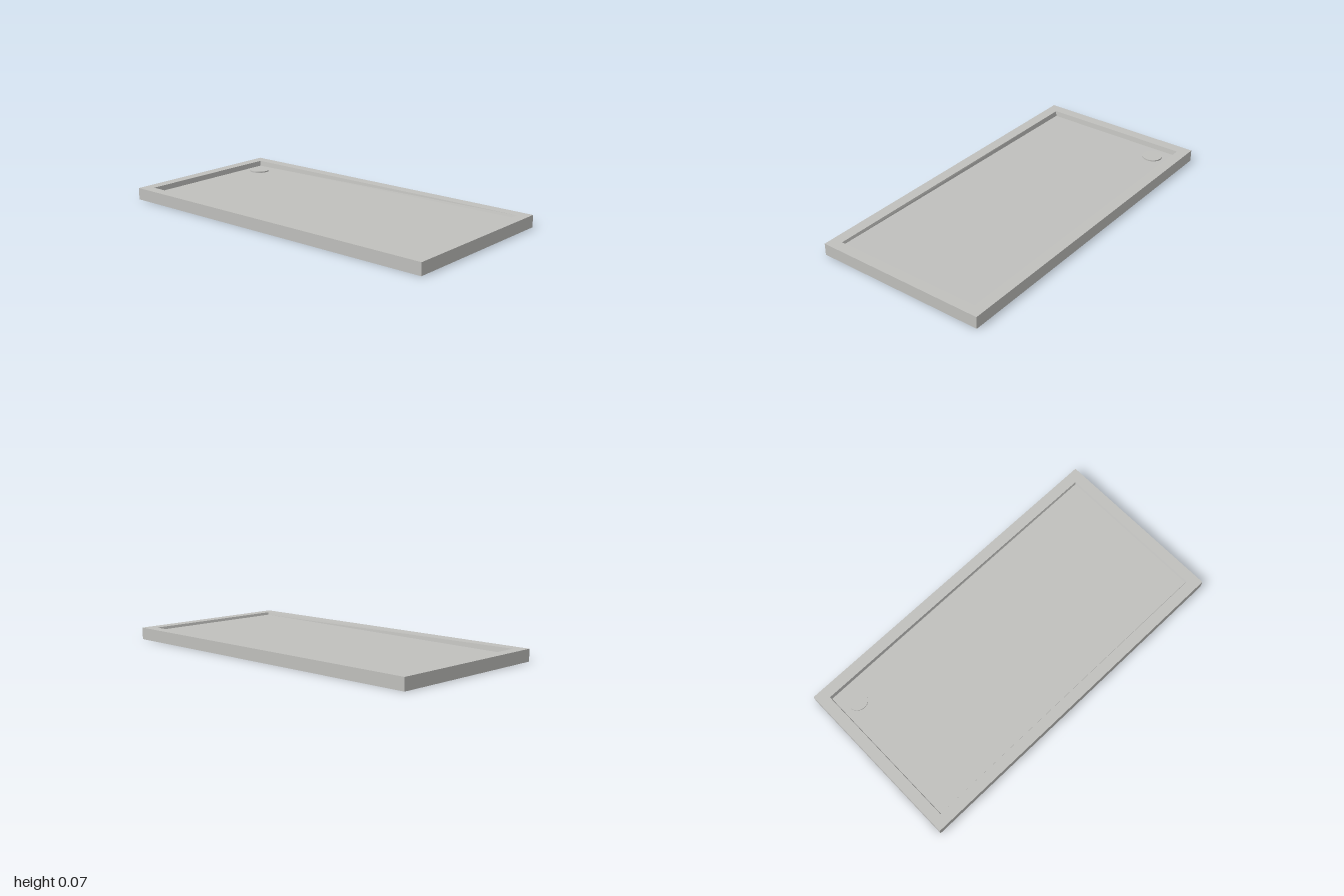
import * as THREE from 'three';

const HEIGHT = 0.068;
// The floor falls gently from the front towards the drain at the back
const floorY = (z) => HEIGHT - 0.022 + 0.008 * z;

// Four corners of a rectangular loop, seen from above
function loop(halfX, halfZ, yAt) {
  return [[-1, 1], [1, 1], [1, -1], [-1, -1]].map(([sx, sz]) =>
    [sx * halfX, yAt(sz * halfZ), sz * halfZ]);
}

// Thin band of faces joining two loops
function band(a, b) {
  const points = [];
  for (let i = 0; i < 4; i++) {
    const j = (i + 1) % 4;
    points.push(a[i], a[j], b[j], a[i], b[j], b[i]);
  }
  return sheet(points);
}

function sheet(points) {
  const geometry = new THREE.BufferGeometry();
  geometry.setAttribute('position', new THREE.Float32BufferAttribute(points.flat(), 3));
  geometry.computeVertexNormals();
  return geometry;
}

export function createModel() {
  const tray = new THREE.Group();
  tray.name = 'showerTray';
  const enamel = new THREE.MeshStandardMaterial({ color: 0xc0c0bd, side: THREE.DoubleSide });
  enamel.name = 'paleGreyEnamel';

  const add = (name, geometry) => {
    const mesh = new THREE.Mesh(geometry, enamel);
    mesh.name = name;
    tray.add(mesh);
    return mesh;
  };

  const outerBottom = loop(0.5, 1, () => 0);
  const outerTop = loop(0.5, 1, () => HEIGHT);
  const innerTop = loop(0.438, 0.938, () => HEIGHT);
  const floorEdge = loop(0.433, 0.933, floorY);

  // Hollow shell, open underneath
  add('outerSkirt', band(outerBottom, outerTop));
  add('rim', band(outerTop, innerTop));
  add('recessWall', band(innerTop, floorEdge));
  const [a, b, c, d] = floorEdge;
  add('floor', sheet([a, b, c, a, c, d]));

  // Round drain cover, set through the floor
  const drain = add('drainCover', new THREE.CylinderGeometry(0.057, 0.057, 0.012, 48));
  drain.position.set(0.33, floorY(-0.84) + 0.002, -0.84);

  return tray;
}
